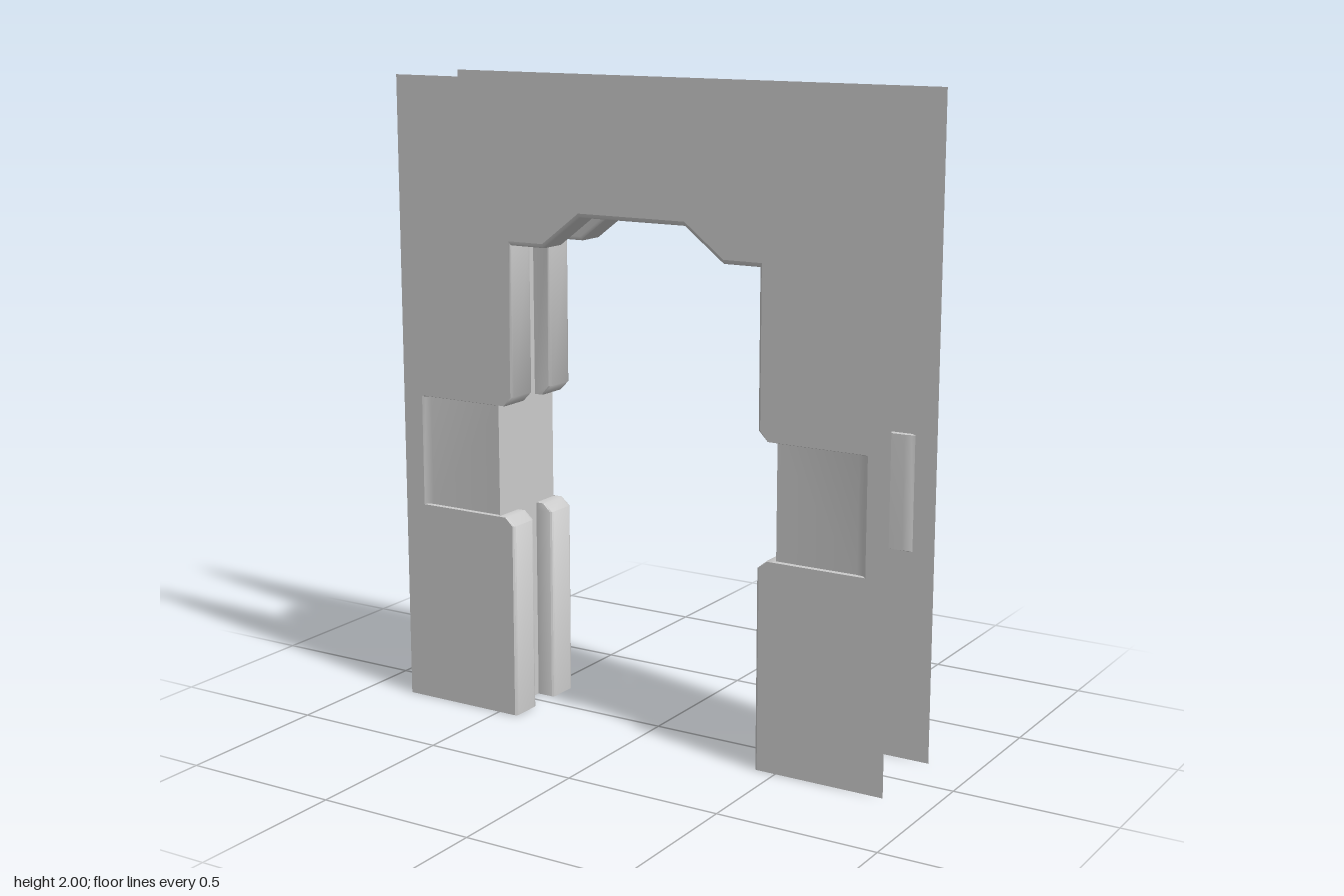
import * as THREE from 'three';
import { toCreasedNormals } from 'three/addons/utils/BufferGeometryUtils.js';

const FACE = 0.156;   // panel distance from the centre plane
const DENT = 0.147;   // recessed panel depth
const BEVEL = 0.13;   // how far the rounded lip reaches towards the groove

// Half outline of the opening: [x, y, groove x, groove y, depth limit]
const HALF = [
  [0.43, 0, 0.49, 0],
  [0.43, 0.62, 0.49, 0.62],
  [0.46, 0.645, 0.49, 0.645],
  [0.49, 0.645, 0.49, 0.645],
  [0.49, 0.645, 0.49, 0.645, DENT],
  [0.49, 1, 0.49, 1, DENT],
  [0.49, 1, 0.49, 1],
  [0.46, 1, 0.49, 1],
  [0.43, 1.03, 0.49, 1.03],
  [0.43, 1.5, 0.49, 1.6],
  [0.31, 1.5, 0.33, 1.6],
  [0.18, 1.6, 0.2, 1.7],
];
const mirror = ([x, y, gx, gy, lim]) => [-x, y, -gx, gy, lim];
const OUTLINE = [...HALF, ...HALF.map(mirror).reverse()];

const lerpPoint = ([x, y, gx, gy], t) => [x + (gx - x) * t, y + (gy - y) * t];

function indexed(positions, columns, rows) {
  const index = [];
  for (let i = 0; i < columns - 1; i++) {
    for (let j = 0; j < rows - 1; j++) {
      const a = i * rows + j, b = a + rows;
      index.push(a, b, a + 1, b, b + 1, a + 1);
    }
  }
  const g = new THREE.BufferGeometry();
  g.setAttribute('position', new THREE.Float32BufferAttribute(positions, 3));
  g.setIndex(index);
  return toCreasedNormals(g, 0.9);
}

// Lining of the doorway: the outline swept through the wall, with a centre groove
function liningGeometry() {
  const front = [[FACE, BEVEL], [0.153, 0.03], [DENT, 0], [0.06, 0], [0.053, 0.03], [0.05, BEVEL], [0.05, 1]];
  const rows = [...front, ...front.map(([z, t]) => [-z, t]).reverse()];
  const positions = [];
  for (const p of OUTLINE) {
    const limit = p[4] ?? FACE;
    for (const [z, t] of rows) {
      positions.push(...lerpPoint(p, t), THREE.MathUtils.clamp(z, -limit, limit));
    }
  }
  return indexed(positions, OUTLINE.length, rows.length);
}

// Flat wall face with the doorway and the side recesses cut out
function panelGeometry() {
  const inner = OUTLINE.map((p) => {
    const [x, y] = lerpPoint(p, BEVEL);
    return new THREE.Vector2(p[4] ? Math.sign(x) * 0.78 : x, y);
  });
  const outer = [[-0.85, 0], [-0.85, 2], [0.85, 2], [0.85, 0]].map(([x, y]) => new THREE.Vector2(x, y));
  return new THREE.ShapeGeometry(new THREE.Shape([...inner, ...outer]));
}

// Shallow recess beside the doorway, ramping out at its far end
function recessGeometry() {
  const xs = [0.49, 0.75, 0.77, 0.78];
  const ys = [0.645, 0.648, 0.997, 1];
  const positions = [];
  xs.forEach((x, i) => ys.forEach((y, j) => {
    const rim = i === 3 || j === 0 || j === 3;
    positions.push(x, y, rim ? FACE : i === 2 ? 0.151 : DENT);
  }));
  return indexed(positions, xs.length, ys.length);
}

export function createModel() {
  const model = new THREE.Group();
  model.name = 'doorFrame';
  const material = new THREE.MeshStandardMaterial({ color: 0xcccccc, side: THREE.DoubleSide });
  const add = (parent, name, geometry) => {
    const mesh = new THREE.Mesh(geometry, material);
    mesh.name = name;
    parent.add(mesh);
    return mesh;
  };

  add(model, 'grooveLining', liningGeometry());

  // Front and back faces
  const panel = panelGeometry();
  const recess = recessGeometry();
  for (const [name, turn] of [['front', 0], ['back', Math.PI]]) {
    const side = new THREE.Group();
    side.name = name + 'Wall';
    side.rotation.y = turn;
    add(side, name + 'Panel', panel).position.z = FACE;
    add(side, name + 'RecessA', recess);
    add(side, name + 'RecessB', recess).scale.x = -1;
    model.add(side);
  }
  return model;
}
